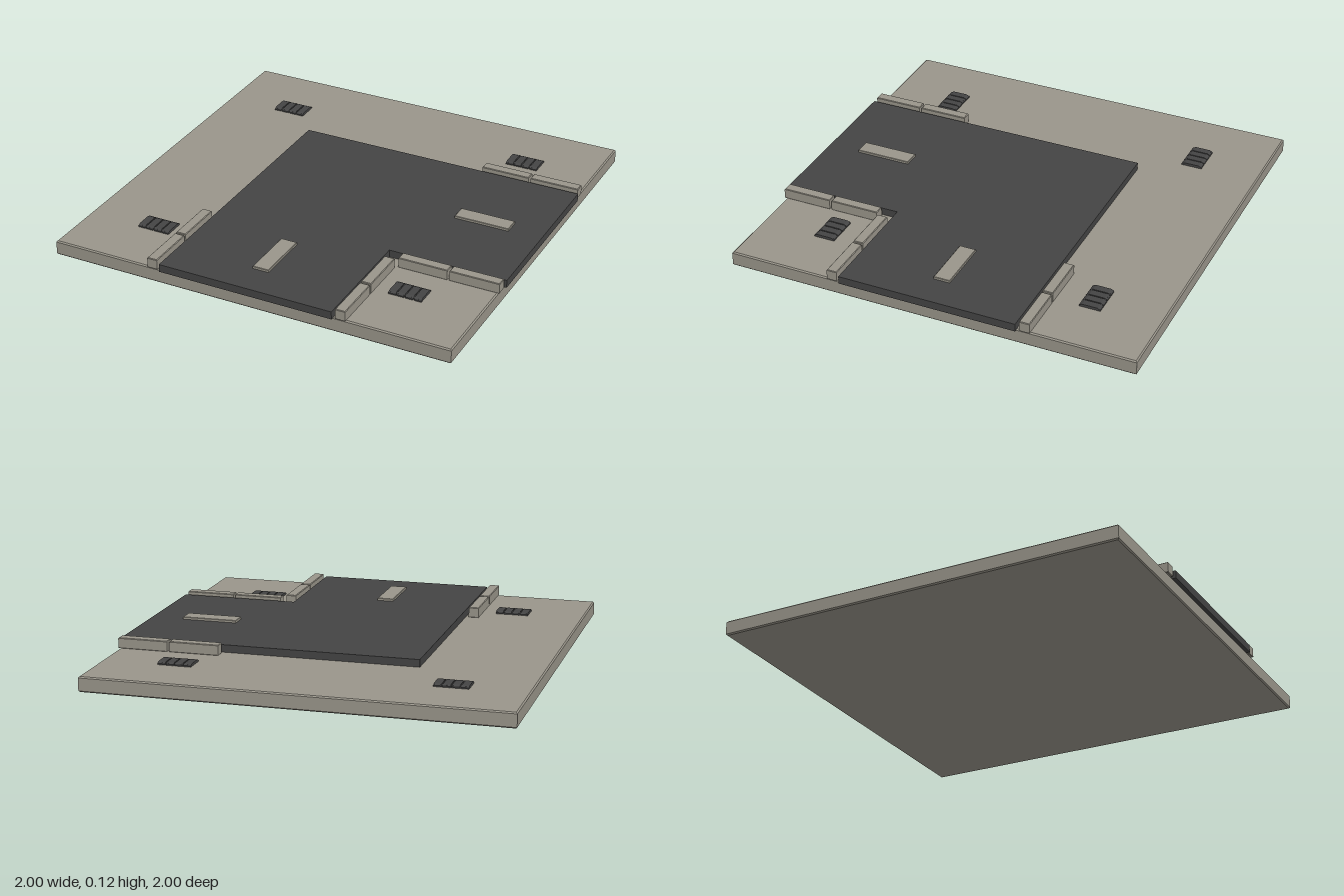
import * as THREE from 'three';

const stone = new THREE.MeshStandardMaterial({ color: 0x99958a });
stone.name = 'warm grey stone';
const asphalt = new THREE.MeshStandardMaterial({ color: 0x444444 });
asphalt.name = 'dark asphalt';

// Extrudes a ground-plan outline of [x, z] points from y0 to y1 with chamfered edges
function slab(points, y0, y1, bevel) {
  const shape = new THREE.Shape(points.map(([x, z]) => new THREE.Vector2(x, -z)));
  const geo = new THREE.ExtrudeGeometry(shape, {
    depth: y1 - y0 - 2 * bevel,
    bevelEnabled: bevel > 0, bevelSize: bevel, bevelThickness: bevel,
    bevelOffset: -bevel, bevelSegments: 1,
  });
  geo.rotateX(-Math.PI / 2);
  geo.translate(0, y0 + bevel, 0);
  return geo;
}

const rect = (x0, x1, z0, z1) => [[x0, z1], [x1, z1], [x1, z0], [x0, z0]];

export function createModel() {
  const model = new THREE.Group();
  const add = (name, geo, mat, parent = model) => {
    const mesh = new THREE.Mesh(geo, mat);
    mesh.name = name;
    parent.add(mesh);
    return mesh;
  };

  // Ground tile
  add('groundTile', slab(rect(-1, 0.985, -1, 0.985), 0, 0.072, 0.006), stone);

  // L-shaped corner road
  const road = [[-0.44, 1], [0.425, 1], [0.425, 0.425], [1, 0.425], [1, -0.44], [-0.44, -0.44]];
  add('cornerRoad', slab(road, 0.07, 0.108, 0), asphalt);

  // Lane markings
  add('laneMarkRight', slab(rect(0.57, 0.84, -0.05, 0.03), 0.1, 0.12, 0.002), stone);
  add('laneMarkFront', slab(rect(-0.05, 0.03, 0.57, 0.84), 0.1, 0.12, 0.002), stone);

  // Kerb blocks in pairs along both road arms
  for (const [a, b] of [[0.5, 0.74], [0.75, 0.992]]) {
    for (const [c, d] of [[-0.505, -0.455], [0.438, 0.488]]) {
      add('kerbSide', slab(rect(a, b, c, d), 0.071, 0.122, 0.003), stone);
      add('kerbFront', slab(rect(c, d, a, b), 0.071, 0.122, 0.003), stone);
    }
  }

  // Drain grates: a plate under four sloped bars
  const profile = new THREE.Shape([
    [-0.051, 0], [0.051, 0], [0.051, 0.007], [0.036, 0.014], [-0.036, 0.014], [-0.051, 0.007],
  ].map(p => new THREE.Vector2(...p)));
  const barGeo = new THREE.ExtrudeGeometry(profile, { depth: 0.036, bevelEnabled: false });
  barGeo.translate(0, 0, -0.018);
  barGeo.rotateY(Math.PI / 2);
  const plateGeo = new THREE.BoxGeometry(0.16, 0.01, 0.09);
  for (const x of [-0.65, 0.635]) {
    for (const z of [-0.67, 0.655]) {
      const grate = new THREE.Group();
      grate.name = 'drainGrate';
      grate.position.set(x, 0.071, z);
      add('gratePlate', plateGeo, asphalt, grate).position.y = 0.005;
      for (let i = 0; i < 4; i++) {
        add('grateBar', barGeo, asphalt, grate).position.x = (i - 1.5) * 0.0415;
      }
      model.add(grate);
    }
  }
  return model;
}
